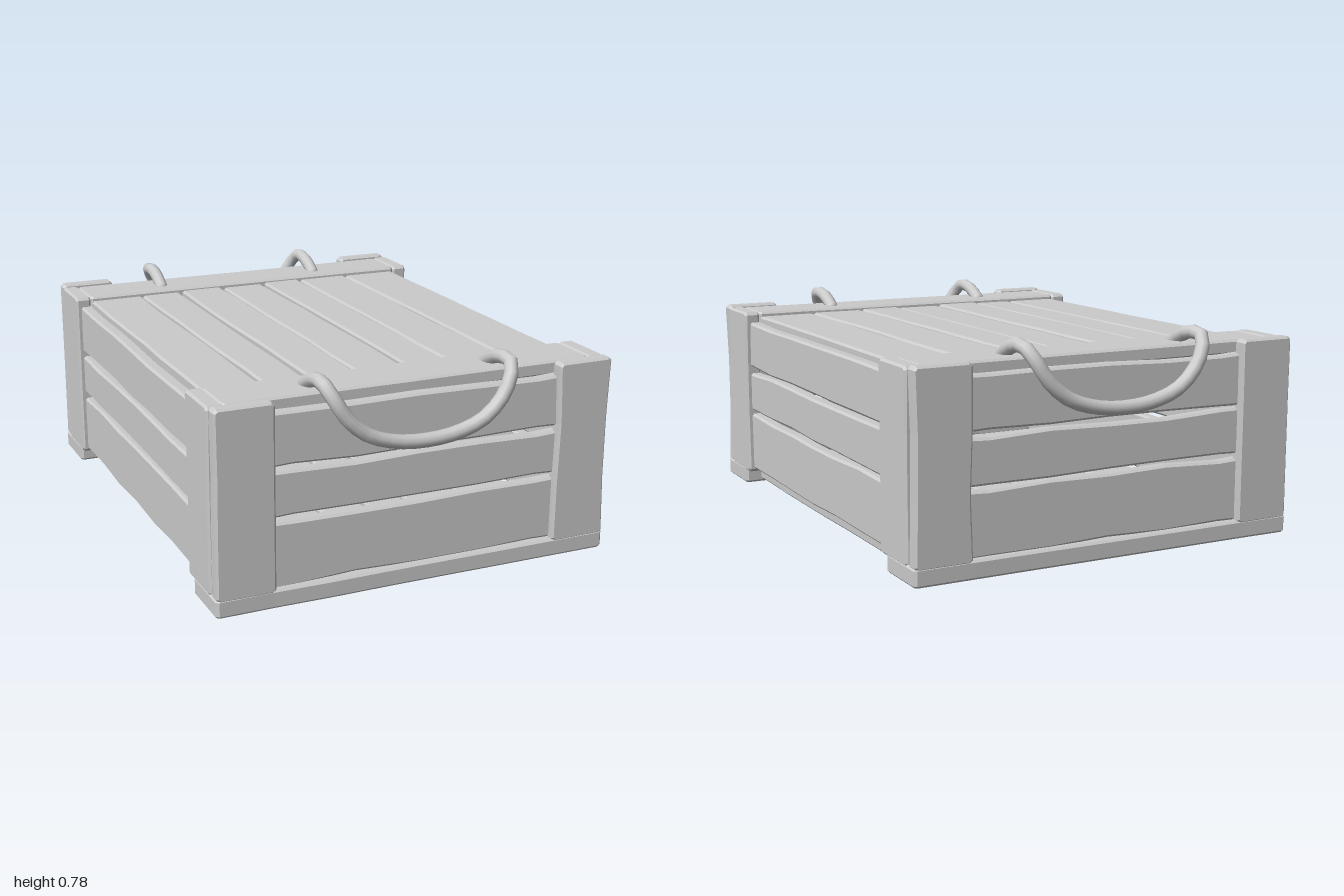
import * as THREE from 'three';

const material = new THREE.MeshStandardMaterial({ color: 0xcccccc, flatShading: true });
const ropeMaterial = new THREE.MeshStandardMaterial({ color: 0xcccccc, side: THREE.DoubleSide });

// small seeded generator, returns -1..1
let seed = 7;
const wobble = () => {
  seed = (seed * 16807) % 2147483647;
  return (seed / 2147483647) * 2 - 1;
};

// Rough plank filling the box min..max; axes = order of length, width, thickness
function plank(name, min, max, axes, rough = 0.005) {
  const index = [...axes].map((a) => 'xyz'.indexOf(a));
  const [len, wid, thick] = index.map((i) => max[i] - min[i]);
  const l = len / 2, w = wid / 2, bevel = Math.min(0.008, thick / 4), cut = 0.012;
  const steps = Math.max(3, Math.round(len / 0.22));
  const shape = new THREE.Shape();
  // wavy long edges with clipped corners
  shape.moveTo(-l, -w + cut);
  for (const side of [-1, 1]) {
    shape.lineTo(side * l, side * (w - cut));
    shape.lineTo(side * (l - cut), side * w);
    for (let i = 1; i < steps; i++) {
      shape.lineTo(side * (l - (len * i) / steps), side * (w - rough * (0.5 + 0.5 * wobble())));
    }
    shape.lineTo(-side * (l - cut), side * w);
    shape.lineTo(-side * l, side * (w - cut));
  }
  const pts = shape.getPoints().filter((p, i, a) => i === 0 || p.distanceTo(a[i - 1]) > 1e-5);
  if (pts[0].distanceTo(pts[pts.length - 1]) < 1e-5) pts.pop();
  const geo = new THREE.ExtrudeGeometry(new THREE.Shape(orderRing(pts)), {
    depth: thick - 2 * bevel, bevelThickness: bevel, bevelSize: bevel, bevelOffset: -bevel, bevelSegments: 1,
  });
  geo.translate(0, 0, -thick / 2 + bevel);
  // turn into place, keeping the basis right-handed
  const unit = (i) => new THREE.Vector3().setComponent(i, 1);
  const X = unit(index[0]), Y = unit(index[1]);
  geo.applyMatrix4(new THREE.Matrix4().makeBasis(X, Y, X.clone().cross(Y)));
  const mesh = new THREE.Mesh(geo, material);
  mesh.name = name;
  mesh.position.set(...min.map((v, i) => (v + max[i]) / 2));
  return mesh;
}

// The outline is star-shaped round its centre, so sort by angle
function orderRing(pts) {
  return pts.sort((a, b) => Math.atan2(a.y, a.x) - Math.atan2(b.y, b.x));
}

// Sagging rope handle for one end
function handle(name) {
  const half = [
    [0.345, 0.705, 0.75], [0.345, 0.735, 0.80], [0.345, 0.753, 0.86], [0.345, 0.748, 0.92],
    [0.325, 0.705, 0.955], [0.285, 0.64, 0.968], [0.215, 0.58, 0.974], [0.115, 0.545, 0.975],
  ];
  const points = [
    ...half.map(([x, y, z]) => new THREE.Vector3(-x - 0.01, y, z)),
    new THREE.Vector3(-0.01, 0.534, 0.975),
    ...half.slice().reverse().map(([x, y, z]) => new THREE.Vector3(x - 0.01, y, z)),
  ];
  const curve = new THREE.CatmullRomCurve3(points, false, 'centripetal');
  const group = new THREE.Group();
  group.name = name;
  const rope = new THREE.Mesh(new THREE.TubeGeometry(curve, 28, 0.025, 10), ropeMaterial);
  rope.name = name + 'Rope';
  group.add(rope);
  // closed rope ends
  for (const i of [0, points.length - 1]) {
    const cap = new THREE.Mesh(new THREE.SphereGeometry(0.025, 10, 6), ropeMaterial);
    cap.name = name + 'End';
    cap.position.copy(points[i]);
    group.add(cap);
  }
  return group;
}

export function createModel() {
  const crate = new THREE.Group();
  crate.name = 'crate';
  const rows = [[0.06, 0.298], [0.304, 0.474], [0.481, 0.677]];
  const cuts = [-0.685, -0.465, -0.30, -0.115, 0.07, 0.235, 0.45, 0.685];

  // Box spanning a..b on one axis, mirrored by sign s
  const span = (a, b, s) => (s > 0 ? [a, b] : [-b, -a]);

  for (const s of [1, -1]) {
    const end = s > 0 ? 'front' : 'back';
    const side = s > 0 ? 'left' : 'right';
    const [w0, w1] = span(0.858, 0.905, s);
    const [p0, p1] = span(0.88, 0.93, s);
    const [s0, s1] = span(0.678, 0.725, s);

    // wall planks
    rows.forEach(([y0, y1]) => {
      crate.add(plank(end + 'WallPlank', [-0.69, y0, w0], [0.69, y1, w1], 'xyz', 0.012));
      crate.add(plank(side + 'WallPlank', [s0, y0, -0.86], [s1, y1, 0.86], 'zyx', 0.012));
    });

    // floor and lid battens
    const [f0, f1] = span(0.71, 0.93, s);
    crate.add(plank(end + 'FloorBatten', [-0.745, 0, f0], [0.745, 0.067, f1], 'xzy', 0.003));
    const [l0, l1] = span(0.663, 0.863, s);
    crate.add(plank(end + 'LidBatten', [-0.687, 0.66, l0], [0.687, 0.712, l1], 'xzy'));

    // corner posts, one on each face of the corner
    for (const t of [1, -1]) {
      const [x0, x1] = span(0.53, 0.742, t);
      crate.add(plank(end + 'CornerPost', [x0, 0.055, p0], [x1, 0.72, p1], 'yxz', 0.008));
      const [a0, a1] = span(0.685, 0.745, t);
      const [z0, z1] = span(0.662, 0.872, s);
      crate.add(plank((t > 0 ? 'left' : 'right') + 'SidePost', [a0, 0.055, z0], [a1, 0.714, z1], 'yzx', 0.006));
    }

    const rope = handle(end + 'Handle');
    if (s < 0) rope.scale.z = -1;
    crate.add(rope);
  }

  // lid and floor planks
  for (let i = 0; i < cuts.length - 1; i++) {
    const x0 = cuts[i] + 0.002, x1 = cuts[i + 1] - 0.002;
    const drop = 0.003 * wobble();
    crate.add(plank('lidPlank', [x0, 0.645, -0.85], [x1, 0.697 + drop, 0.85], 'zxy', 0.008));
    crate.add(plank('floorPlank', [x0, 0.012 + drop, -0.86], [x1, 0.062, 0.86], 'zxy', 0.012));
  }
  return crate;
}
